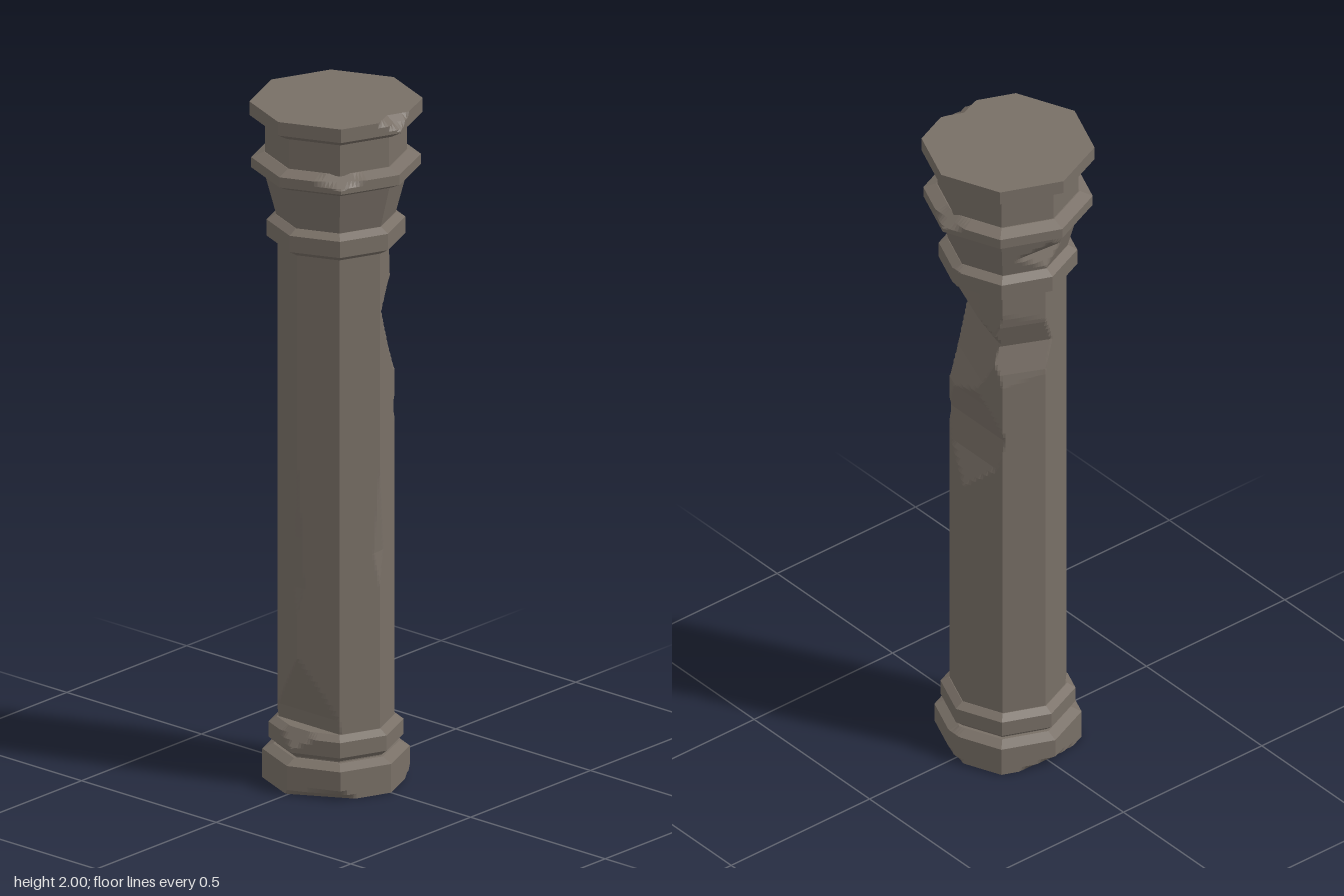
import * as THREE from 'three';

const SIDES = 8, SEGMENTS = 128;
const STEP = (Math.PI * 2) / SIDES;

// Linear interpolation through [y, value] pairs; Infinity outside their range.
function sample(pairs, y) {
  for (let i = 0; i + 1 < pairs.length; i++) {
    const [y0, v0] = pairs[i], [y1, v1] = pairs[i + 1];
    if (y >= y0 - 1e-6 && y <= y1 + 1e-6) return v0 + ((v1 - v0) * (y - y0)) / (y1 - y0);
  }
  return Infinity;
}

// Distance from the axis to a bite's broken face; spread opens it into a V.
function biteRadius(bite, theta, y) {
  const d = sample(bite.depth, y);
  const a = THREE.MathUtils.degToRad(bite.angle);
  const s = THREE.MathUtils.degToRad(bite.spread || 0);
  const ray = (k) => {
    const c = Math.cos(theta - a + k);
    return c > 0.05 ? d / c : Infinity;
  };
  return Math.max(ray(s), ray(-s));
}

// Octagonal stone: profile is [y, corner radius] from bottom to top, bites chip it.
function stone(name, material, profile, bites = []) {
  const bottom = profile[0][0], top = profile[profile.length - 1][0];
  const levels = profile.map((p) => p[0]);
  for (const b of bites) levels.push(...b.depth.map((p) => p[0]));
  if (bites.length) {
    const n = Math.ceil((top - bottom) / 0.016);
    for (let i = 1; i < n; i++) levels.push(bottom + ((top - bottom) * i) / n);
  }
  const rows = [...new Set(levels.map((y) => +y.toFixed(4)))]
    .filter((y) => y >= bottom && y <= top).sort((a, b) => a - b);

  const positions = [], index = [];
  for (const y of rows) {
    const corner = sample(profile, y);
    for (let i = 0; i < SEGMENTS; i++) {
      const theta = (i / SEGMENTS) * Math.PI * 2;
      let r = (corner * Math.cos(STEP / 2)) / Math.cos((theta % STEP) - STEP / 2);
      for (const b of bites) r = Math.min(r, biteRadius(b, theta, y));
      positions.push(r * Math.cos(theta), y, r * Math.sin(theta));
    }
  }
  const last = rows.length - 1;
  const centre = rows.length * SEGMENTS;
  positions.push(0, bottom, 0, 0, top, 0);
  for (let i = 0; i < SEGMENTS; i++) {
    const k = (i + 1) % SEGMENTS;
    for (let j = 0; j < last; j++) {
      const a = j * SEGMENTS + i, b = j * SEGMENTS + k;
      const c = a + SEGMENTS, d = b + SEGMENTS;
      index.push(a, c, b, b, c, d);
    }
    index.push(i, k, centre);
    index.push(last * SEGMENTS + k, last * SEGMENTS + i, centre + 1);
  }
  const geometry = new THREE.BufferGeometry();
  geometry.setAttribute('position', new THREE.Float32BufferAttribute(positions, 3));
  geometry.setIndex(index);
  geometry.computeVertexNormals();
  const mesh = new THREE.Mesh(geometry, material);
  mesh.name = name;
  return mesh;
}

export function createModel() {
  const stoneGrey = new THREE.MeshStandardMaterial({ color: 0x786f66, flatShading: true });
  stoneGrey.name = 'weathered stone';

  const column = new THREE.Group();
  column.name = 'brokenColumn';
  const add = (...args) => column.add(stone(args[0], stoneGrey, args[1], args[2]));

  // Foot with chipped lower corners
  add('plinth', [[0, 0.205], [0.085, 0.205], [0.1, 0.175]], [
    { angle: 150, depth: [[0, 0.17], [0.03, 0.2]] },
    { angle: 22, depth: [[0, 0.165], [0.03, 0.2]] },
    { angle: -90, depth: [[0, 0.165], [0.03, 0.205]] },
    { angle: 0, depth: [[0, 0.196], [0.1, 0.196]] },
  ]);
  add('baseNeck', [[0.1, 0.165], [0.115, 0.165]]);
  add('baseRing', [[0.105, 0.17], [0.12, 0.188], [0.165, 0.188], [0.18, 0.165]], [
    { angle: 180, depth: [[0.13, 0.188], [0.18, 0.15]] },
  ]);

  // Shaft with the large broken hollows
  add('shaft', [[0.17, 0.163], [1.59, 0.163]], [
    { angle: 20, depth: [[1.2, 0.148], [1.28, 0.112], [1.41, 0.066], [1.49, 0.118], [1.59, 0.116]] },
    { angle: 0, depth: [[0.91, 0.163], [1, 0.122], [1.1, 0.11], [1.2, 0.133], [1.3, 0.163]] },
    { angle: -65, depth: [[1.22, 0.163], [1.32, 0.146], [1.4, 0.12], [1.48, 0.146], [1.56, 0.16]] },
    { angle: 180, depth: [[0.17, 0.112], [0.22, 0.116], [0.3, 0.137], [0.39, 0.163]] },
    { angle: 180, depth: [[0.52, 0.163], [0.6, 0.156], [0.75, 0.158], [0.95, 0.163]] },
    { angle: 86, depth: [[0.6, 0.163], [0.7, 0.154], [0.95, 0.163]] },
  ]);

  // Capital
  add('collar', [[1.585, 0.165], [1.602, 0.193], [1.65, 0.193], [1.665, 0.168]], [
    { angle: 0, depth: [[1.585, 0.186], [1.665, 0.186]] },
  ]);
  add('bell', [[1.66, 0.165], [1.8, 0.202]], [
    { angle: -85, depth: [[1.67, 0.168], [1.72, 0.15], [1.77, 0.195]] },
  ]);
  add('capitalRing', [[1.79, 0.205], [1.805, 0.236], [1.835, 0.236], [1.85, 0.2]], [
    { angle: 135, depth: [[1.815, 0.236], [1.85, 0.185]] },
    { angle: 0, depth: [[1.815, 0.236], [1.85, 0.19]] },
  ]);
  add('capitalNeck', [[1.845, 0.197], [1.945, 0.197]]);
  add('topSlab', [[1.94, 0.205], [1.96, 0.241], [2, 0.241]], [
    { angle: 90, spread: 22, depth: [[1.965, 0.226], [2, 0.176]] },
  ]);

  return column;
}
